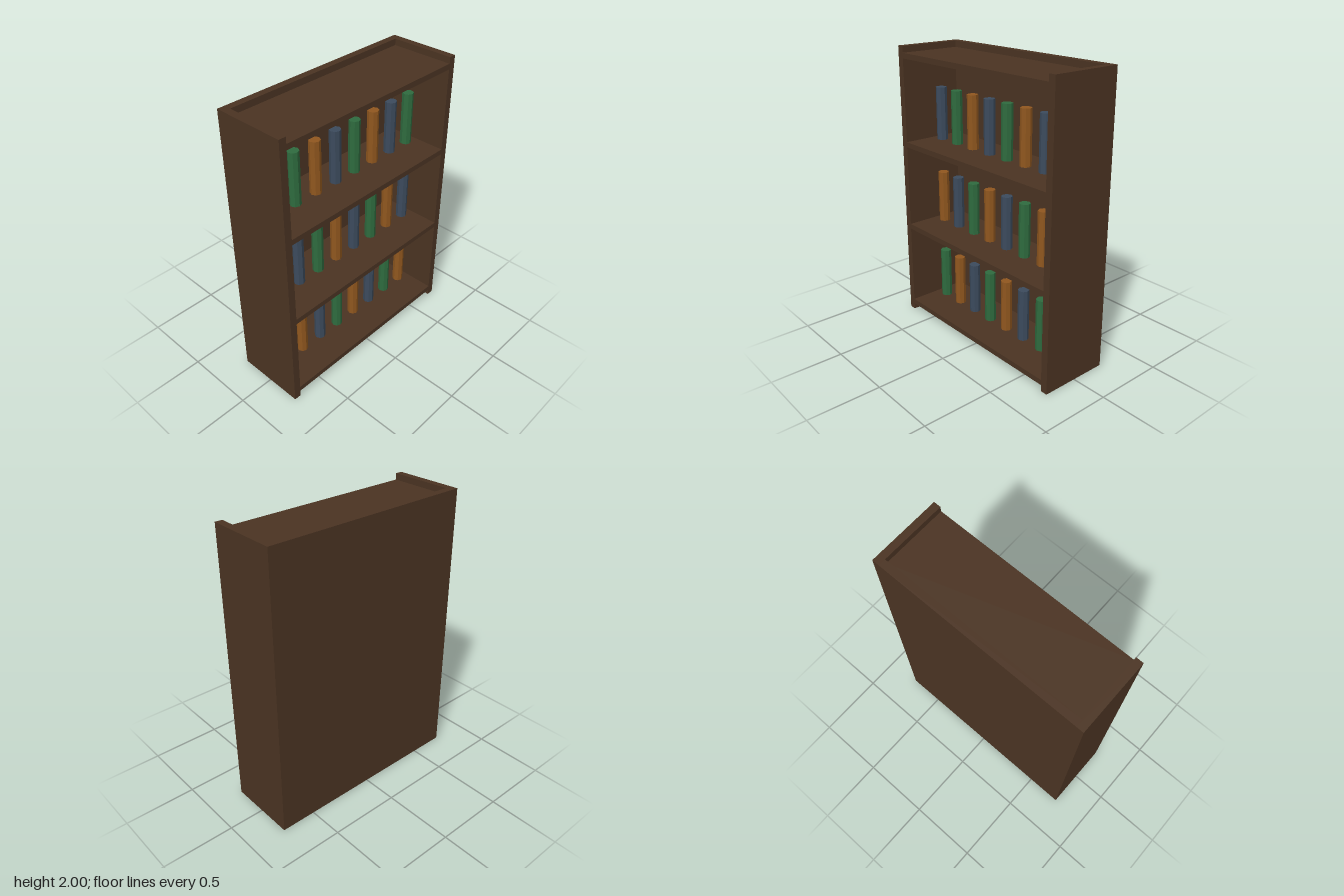
import * as THREE from 'three';

function material(name, color) {
  const m = new THREE.MeshStandardMaterial({ color });
  m.name = name;
  return m;
}

export function createModel() {
  const model = new THREE.Group();
  model.name = 'bookcase';

  const wood = material('dark wood', 0x4a3322);
  const covers = [
    material('green', 0x2e6a3e),
    material('orange', 0x8f561e),
    material('blue', 0x3b4a5c),
  ];

  function board(name, w, h, d, x, y, z) {
    const mesh = new THREE.Mesh(new THREE.BoxGeometry(w, h, d), wood);
    mesh.name = name;
    mesh.position.set(x, y, z);
    model.add(mesh);
  }

  // Carcass: two full-depth sides and a back between them
  board('leftSide', 0.05, 2, 0.5, 0.725, 1, 0);
  board('rightSide', 0.05, 2, 0.5, -0.725, 1, 0);
  board('backPanel', 1.4, 2, 0.05, 0, 1, -0.225);

  // Four evenly spaced shelves, flush with the front
  const shelfY = (row) => 0.0635 + row * 0.6245;
  const thickness = 0.0375;
  for (let row = 0; row < 4; row++) {
    board('shelf' + (row + 1), 1.4, thickness, 0.45, 0, shelfY(row), 0.025);
  }

  // Eight upright eight-sided books per shelf, colours shifting by one each row
  const height = 0.376;
  const bookGeometry = new THREE.CylinderGeometry(0.039, 0.039, height, 8).toNonIndexed();
  bookGeometry.computeVertexNormals();
  for (let row = 0; row < 3; row++) {
    const books = new THREE.Group();
    books.name = 'bookRow' + (row + 1);
    for (let i = 0; i < 8; i++) {
      const book = new THREE.Mesh(bookGeometry, covers[(i + row) % 3]);
      book.name = 'book' + (i + 1);
      book.position.set(-0.6125 + i * 0.175, shelfY(row) + thickness / 2 + height / 2, 0);
      books.add(book);
    }
    model.add(books);
  }

  return model;
}
